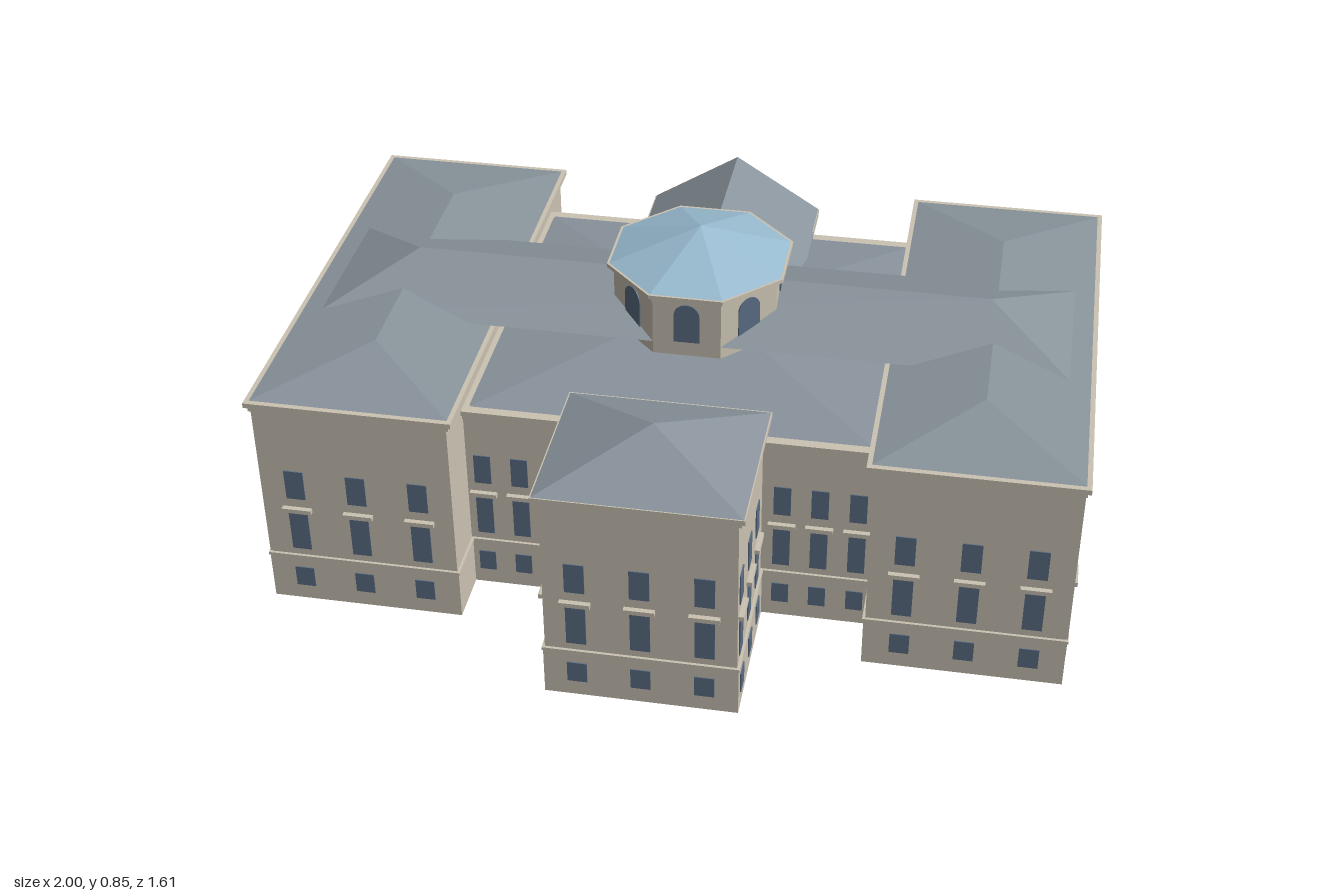
import * as THREE from 'three';

const stone = new THREE.MeshStandardMaterial({ color: 0xcbc3b3, side: THREE.DoubleSide });
stone.name = 'stone';
const slate = new THREE.MeshStandardMaterial({ color: 0x89939b, side: THREE.DoubleSide });
slate.name = 'slate roof';
const copper = new THREE.MeshStandardMaterial({ color: 0x98bbd0, side: THREE.DoubleSide });
copper.name = 'pale blue roof';
const glass = new THREE.MeshStandardMaterial({ color: 0x5a6d84 });
glass.name = 'window glass';

function mesh(parent, name, geo, mat) {
  const m = new THREE.Mesh(geo, mat);
  m.name = name;
  parent.add(m);
  return m;
}

// Solid box given by its limits
function block(parent, name, x0, x1, y0, y1, z0, z1, mat = stone) {
  const m = mesh(parent, name, new THREE.BoxGeometry(x1 - x0, y1 - y0, z1 - z0), mat);
  m.position.set((x0 + x1) / 2, (y0 + y1) / 2, (z0 + z1) / 2);
  return m;
}

// Hollow rectangular ring of walls, open above and below
function ring(parent, name, [x0, x1, z0, z1], y0, y1, grow = 0, t = 0.01) {
  const rect = (Shape, g) => new Shape([
    [x0 - g, -z0 + g], [x1 + g, -z0 + g], [x1 + g, -z1 - g], [x0 - g, -z1 - g],
  ].map(p => new THREE.Vector2(...p)));
  const shape = rect(THREE.Shape, grow);
  shape.holes.push(rect(THREE.Path, grow - t));
  const geo = new THREE.ExtrudeGeometry(shape, { depth: y1 - y0, bevelEnabled: false });
  geo.rotateX(-Math.PI / 2).translate(0, y0, 0);
  return mesh(parent, name, geo, stone);
}

// Hipped roof: the top edge is the rectangle inset by ix and iz
function hipRoof(parent, name, [x0, x1, z0, z1], y0, y1, ix, iz) {
  const low = [[x0, y0, z1], [x1, y0, z1], [x1, y0, z0], [x0, y0, z0]];
  const top = [[x0 + ix, y1, z1 - iz], [x1 - ix, y1, z1 - iz], [x1 - ix, y1, z0 + iz], [x0 + ix, y1, z0 + iz]];
  const pos = [];
  for (let i = 0; i < 4; i++) {
    const j = (i + 1) % 4;
    pos.push(...low[i], ...low[j], ...top[j]);
    const d = Math.hypot(top[i][0] - top[j][0], top[i][2] - top[j][2]);
    if (d > 1e-4) pos.push(...low[i], ...top[j], ...top[i]);
  }
  const geo = new THREE.BufferGeometry();
  geo.setAttribute('position', new THREE.Float32BufferAttribute(pos, 3));
  geo.computeVertexNormals();
  return mesh(parent, name, geo, slate);
}

// Basement, walls, string course and two-step cornice of one block
function building(parent, name, r, top) {
  const g = new THREE.Group();
  g.name = name;
  parent.add(g);
  ring(g, 'basement', r, 0.022, 0.155, 0.004);
  ring(g, 'stringCourse', r, 0.152, 0.16, 0.007, 0.014);
  ring(g, 'walls', r, 0.155, top);
  ring(g, 'lowerCornice', r, top, top + 0.014, 0.008, 0.02);
  ring(g, 'upperCornice', r, top + 0.014, top + 0.027, 0.016, 0.03);
  return g;
}

// Columns of windows on a facade; local +z points out of the wall
function facade(parent, x, z, turn, cols, w, { ground = true, pilasters = [] } = {}) {
  const g = new THREE.Group();
  g.name = 'facade';
  g.position.set(x, 0, z);
  g.rotation.y = turn;
  parent.add(g);
  for (const u of cols) {
    const a = u - w / 2, b = u + w / 2;
    if (ground) block(g, 'groundWindow', a, b, 0.065, 0.122, 0, 0.007, glass);
    block(g, 'tallWindow', a, b, 0.18, 0.29, -0.004, 0.003, glass);
    block(g, 'upperWindow', a, b, 0.335, 0.418, -0.004, 0.003, glass);
    block(g, 'windowHood', a - 0.013, b + 0.013, 0.297, 0.309, 0, 0.013);
  }
  for (const u of pilasters) block(g, 'pilaster', u - 0.014, u + 0.014, 0.16, 0.59, 0, 0.005);
}

const faceted = geo => {
  const g = geo.toNonIndexed();
  g.computeVertexNormals();
  return g;
};

export function createModel() {
  const model = new THREE.Group();
  model.name = 'building';
  const H = Math.PI / 2;

  // Side wings
  const sideCols = Array.from({ length: 9 }, (_, i) => (i - 4) * 0.134);
  const sidePilasters = Array.from({ length: 10 }, (_, i) => (i - 4.5) * 0.131);
  for (const s of [-1, 1]) {
    const x = [0.505 * s, 0.982 * s].sort((a, b) => a - b);
    const wing = building(model, s > 0 ? 'leftWing' : 'rightWing', [...x, -0.65, 0.56], 0.592);
    hipRoof(wing, 'wingRoof', [x[0] - 0.01, x[1] + 0.01, -0.66, 0.568], 0.618, 0.661, 0.2485, 0.25);
    facade(wing, s * 0.982, -0.045, s * H, sideCols, 0.046, { pilasters: sidePilasters });
    const cols = [0.59, 0.745, 0.9].map(c => c * s);
    const pil = [0.52, 0.667, 0.823, 0.967].map(c => c * s);
    facade(wing, 0, 0.56, 0, cols, 0.048);
    facade(wing, 0, -0.65, Math.PI, cols.map(c => -c), 0.048, { pilasters: pil.map(c => -c) });
  }

  // Lower central block with a shallow hipped roof
  const centre = building(model, 'centralBlock', [-0.505, 0.505, -0.52, 0.42], 0.53);
  hipRoof(centre, 'lowerRoof', [-0.505, 0.505, -0.528, 0.428], 0.555, 0.612, 0.478, 0.478);
  const linkCols = [-0.465, -0.372, -0.28, 0.28, 0.372, 0.465];
  facade(centre, 0, 0.42, 0, linkCols, 0.042);
  facade(centre, 0, -0.52, Math.PI, linkCols, 0.042);
  facade(centre, 0, -0.52, Math.PI, [-0.12, 0, 0.12], 0.048, { ground: false });

  // Long ridge roof joining the wings
  hipRoof(model, 'ridgeRoof', [-0.935, 0.935, -0.25, 0.16], 0.628, 0.71, 0.205, 0.205);

  // Front pavilion
  const pav = building(model, 'frontPavilion', [-0.23, 0.23, 0.4, 0.79], 0.583);
  hipRoof(pav, 'pavilionRoof', [-0.243, 0.243, 0.387, 0.803], 0.61, 0.697, 0.243, 0.208);
  facade(pav, 0, 0.79, 0, [-0.153, 0, 0.153], 0.048);
  for (const s of [-1, 1]) facade(pav, s * 0.23, 0, s * H, [0.745, 0.62, 0.5].map(z => -s * z), 0.046);

  // Octagonal lantern
  const lantern = new THREE.Group();
  lantern.name = 'lantern';
  lantern.position.z = -0.045;
  model.add(lantern);
  const oct = (name, a0, a1, y0, y1, mat, open) => {
    const k = 1 / Math.cos(Math.PI / 8);
    const geo = new THREE.CylinderGeometry(a1 * k, a0 * k, y1 - y0, 8, 1, open, Math.PI / 8);
    mesh(lantern, name, faceted(geo), mat).position.y = (y0 + y1) / 2;
  };
  oct('drum', 0.205, 0.205, 0.595, 0.755, stone, true);
  oct('lanternLowerCornice', 0.212, 0.212, 0.75, 0.76, stone, false);
  oct('lanternUpperCornice', 0.221, 0.221, 0.76, 0.77, stone, false);
  oct('lanternRoof', 0.215, 0.0001, 0.77, 0.847, copper, true);
  const arch = new THREE.Shape();
  arch.moveTo(-0.032, 0.635);
  arch.lineTo(0.032, 0.635);
  arch.lineTo(0.032, 0.71);
  arch.absarc(0, 0.71, 0.032, 0, Math.PI);
  arch.closePath();
  const archGeo = new THREE.ExtrudeGeometry(arch, { depth: 0.006, bevelEnabled: false, curveSegments: 8 });
  archGeo.translate(0, 0, 0.202);
  for (let i = 0; i < 8; i++) mesh(lantern, 'archedWindow', archGeo, glass).rotation.y = i * Math.PI / 4;

  // Rear portico: podium, columns, entablature and gable
  const portico = new THREE.Group();
  portico.name = 'portico';
  model.add(portico);
  block(portico, 'podium', -0.225, 0.225, 0.022, 0.157, -0.64, -0.515);
  block(portico, 'entablature', -0.215, 0.215, 0.515, 0.557, -0.632, -0.515);
  block(portico, 'porticoCornice', -0.229, 0.229, 0.557, 0.575, -0.643, -0.515);
  const gable = new THREE.Shape([[-0.23, 0.573], [0.23, 0.573], [0, 0.717]].map(p => new THREE.Vector2(...p)));
  const gableGeo = new THREE.ExtrudeGeometry(gable, { depth: 0.385, bevelEnabled: false });
  mesh(portico, 'gableRoof', gableGeo, [stone, slate]).position.z = -0.635;
  for (const s of [-1, 1]) {
    const rake = new THREE.Shape([[0, 0.717], [0.23 * s, 0.573], [0.195 * s, 0.573], [0, 0.695]].map(p => new THREE.Vector2(...p)));
    const geo = new THREE.ExtrudeGeometry(rake, { depth: 0.01, bevelEnabled: false });
    mesh(portico, 'rakingCornice', geo, [stone, slate]).position.z = -0.645;
  }
  const shaft = [[0.024, 0.175], [0.018, 0.18], [0.0185, 0.3], [0.0155, 0.495], [0.022, 0.503]]
    .map(p => new THREE.Vector2(...p));
  for (const x of [-0.18, -0.06, 0.06, 0.18]) {
    mesh(portico, 'column', new THREE.LatheGeometry(shaft, 14), stone).position.set(x, 0, -0.605);
    block(portico, 'columnBase', x - 0.026, x + 0.026, 0.157, 0.176, -0.631, -0.579);
    block(portico, 'capital', x - 0.024, x + 0.024, 0.502, 0.516, -0.629, -0.581);
  }

  // Entrance steps between stepped cheek walls
  const n = 8;
  for (let i = 0; i < n; i++) {
    block(portico, 'step', -0.162, 0.162, 0, 0.157 - i * 0.0196, -0.66 - i * 0.0205, -0.635 - (i ? (i - 1) * 0.0205 + 0.024 : 0));
  }
  for (const s of [-1, 1]) {
    const x = [0.16 * s, 0.215 * s].sort((a, b) => a - b);
    block(portico, 'cheekWall', ...x, 0, 0.06, -0.807, -0.64);
    block(portico, 'stairPedestal', ...x, 0, 0.168, -0.692, -0.638);
  }
  return model;
}
